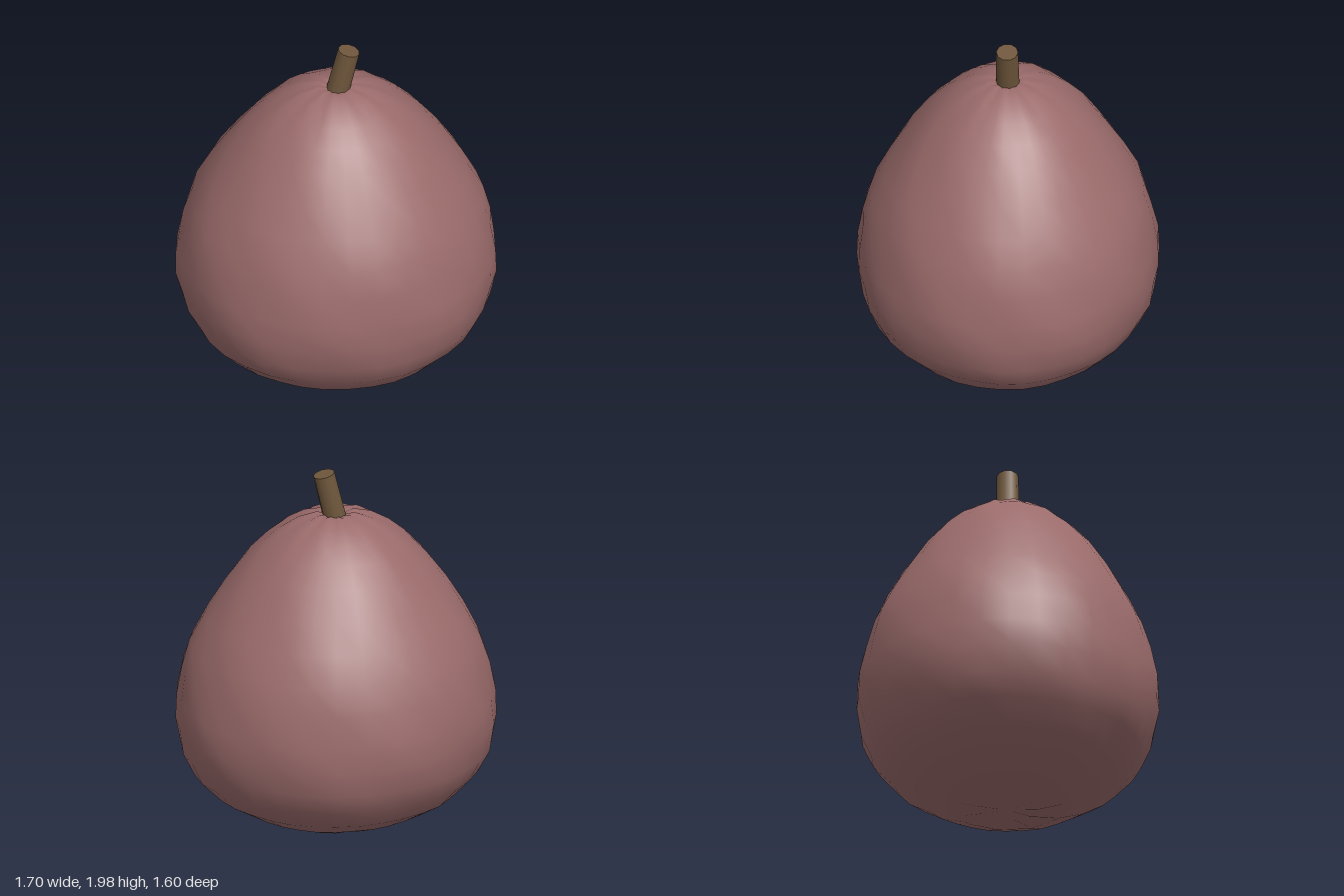
import * as THREE from 'three';
import { mergeVertices } from 'three/addons/utils/BufferGeometryUtils.js';

const skin = new THREE.MeshStandardMaterial({ name: 'dusky pink skin', color: 0x9b6b6b });
const wood = new THREE.MeshStandardMaterial({ name: 'brown stem', color: 0x6f573c });

// Teardrop outline [radius, height] from the base to the dimpled crown
const profile = [
  [0, 0.015], [0.16, 0.025], [0.35, 0.065], [0.51, 0.13], [0.65, 0.215], [0.76, 0.33],
  [0.82, 0.45], [0.85, 0.6], [0.845, 0.74], [0.815, 0.9], [0.77, 1.05], [0.69, 1.2],
  [0.595, 1.35], [0.485, 1.5], [0.39, 1.6], [0.3, 1.675], [0.2, 1.735], [0.1, 1.765],
  [0.04, 1.75], [0, 1.73],
];

function createBody() {
  const lathe = new THREE.LatheGeometry(profile.map(([r, y]) => new THREE.Vector2(r, y)), 32);
  lathe.deleteAttribute('uv');
  lathe.deleteAttribute('normal');
  const geometry = mergeVertices(lathe, 1e-4);
  const p = geometry.attributes.position;
  // Narrow the depth a little and add shallow lumps and pleats near both poles
  for (let i = 0; i < p.count; i++) {
    const x = p.getX(i), y = p.getY(i), z = p.getZ(i);
    const a = Math.atan2(z, x);
    const r = Math.hypot(x, z);
    const lump = 1 + 0.006 * Math.sin(5 * a + 7 * y) + 0.005 * Math.sin(9 * a - 11 * y);
    const pleat = 0.008 * Math.sin(11 * a) * Math.min(1, r / 0.15) * Math.max(0, 1 - r / 0.65);
    p.setXYZ(i, x * lump, y + pleat, z * lump * 0.94);
  }
  geometry.computeVertexNormals();
  const body = new THREE.Mesh(geometry, skin);
  body.name = 'fruitBody';
  return body;
}

function createStem() {
  // Short leaning stalk rooted in the crown
  const length = 0.29;
  const geometry = new THREE.CylinderGeometry(0.058, 0.062, length, 10);
  geometry.translate(0, length / 2, 0);
  const stem = new THREE.Mesh(geometry, wood);
  stem.name = 'stem';
  stem.position.set(-0.001, 1.704, 0);
  stem.rotation.z = -0.23;
  return stem;
}

export function createModel() {
  const model = new THREE.Group();
  model.name = 'fruit';
  model.add(createBody(), createStem());
  return model;
}
